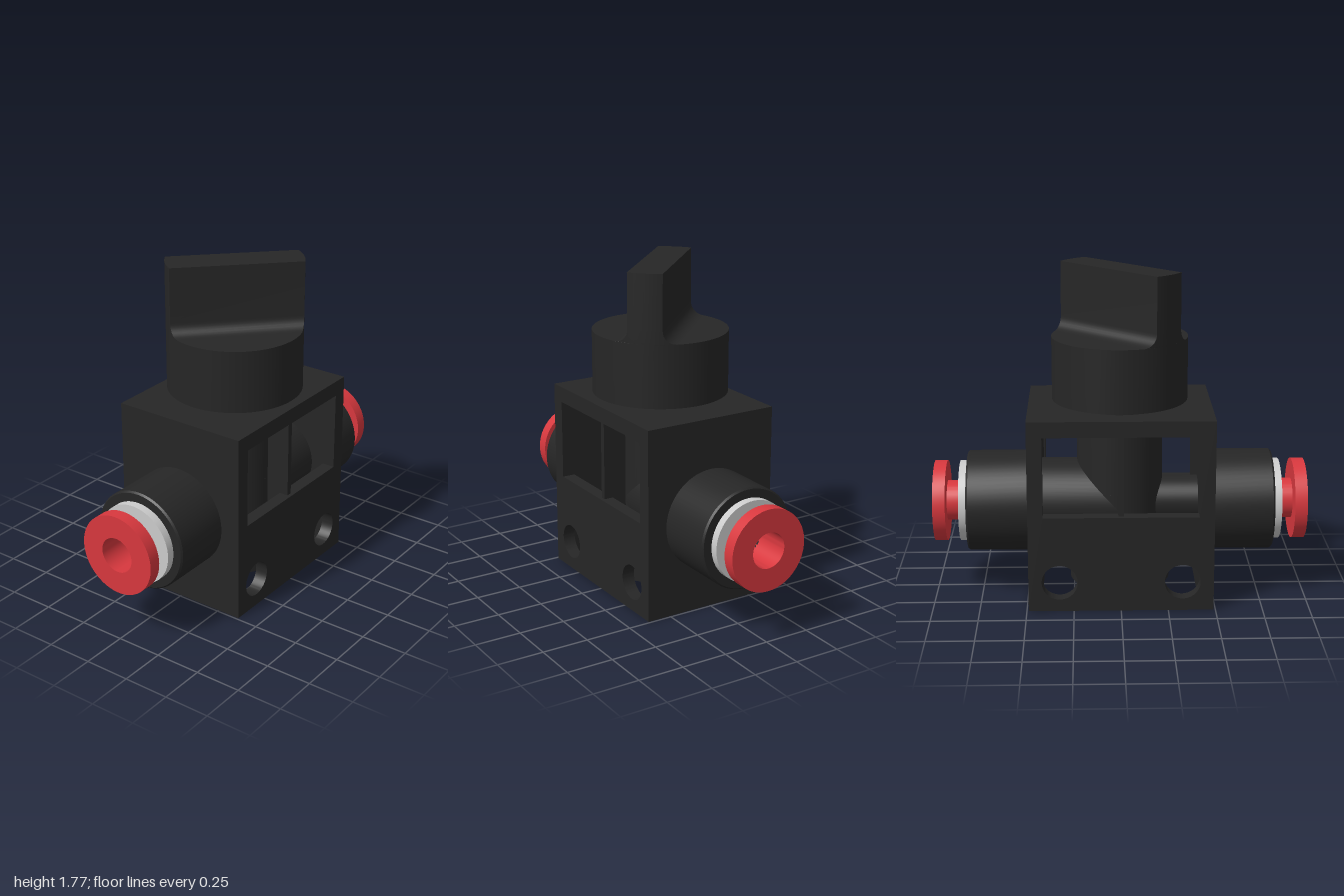
import * as THREE from 'three';
import { toCreasedNormals } from 'three/addons/utils/BufferGeometryUtils.js';

const AXIS_Y = 0.496; // height of the flow axis
const BORE = 0.095;

export function createModel() {
  const model = new THREE.Group();
  const dark = new THREE.MeshStandardMaterial({ color: 0x262626 });
  const darkOpen = new THREE.MeshStandardMaterial({ color: 0x262626, side: THREE.DoubleSide });
  const red = new THREE.MeshStandardMaterial({ color: 0xd8383e });
  const grey = new THREE.MeshStandardMaterial({ color: 0xcccccc });

  const add = (parent, name, geometry, material, x = 0, y = 0, z = 0) => {
    const mesh = new THREE.Mesh(geometry, material);
    mesh.name = name;
    mesh.position.set(x, y, z);
    parent.add(mesh);
    return mesh;
  };
  const lathe = (points) => toCreasedNormals(
    new THREE.LatheGeometry(points.map(([r, y]) => new THREE.Vector2(r, y)), 64), 0.6);
  const rect = (path, x0, y0, x1, y1) =>
    path.moveTo(x0, y0).lineTo(x1, y0).lineTo(x1, y1).lineTo(x0, y1).closePath();
  const circle = (x, y, r) => new THREE.Path().absarc(x, y, r, 0, Math.PI * 2, true);
  const plate = (halfWidth, height, depth, holes) => {
    const shape = rect(new THREE.Shape(), -halfWidth, 0, halfWidth, height);
    shape.holes.push(...holes);
    return toCreasedNormals(
      new THREE.ExtrudeGeometry(shape, { depth, bevelEnabled: false, curveSegments: 32 }), 0.6);
  };

  // Housing: hollow box, open underneath, with a window and two mounting holes front and back
  const housing = new THREE.Group();
  housing.name = 'housing';
  model.add(housing);
  const facePlate = plate(0.49, 1.04, 0.07, [
    rect(new THREE.Path(), -0.41, 0.52, 0.41, 0.955),
    circle(-0.325, 0.16, BORE), circle(0.325, 0.16, BORE),
  ]);
  add(housing, 'frontWall', facePlate, dark, 0, 0, 0.31);
  add(housing, 'backWall', facePlate, dark, 0, 0, -0.38);
  const sidePlate = plate(0.31, 1.04, 0.07, [circle(0, AXIS_Y, 0.1)]).rotateY(Math.PI / 2);
  add(housing, 'leftWall', sidePlate, dark, 0.42);
  add(housing, 'rightWall', sidePlate, dark, -0.49);
  add(housing, 'roof', new THREE.BoxGeometry(0.84, 0.085, 0.62), dark, 0, 0.9975);

  // Valve core: upright cylinder, its middle band opened on both sides for the bore
  const core = new THREE.Group();
  core.name = 'valveCore';
  model.add(core);
  const R = 0.23, gap = 0.093;
  const band = (name, y0, y1, start, length) => add(core, name,
    new THREE.CylinderGeometry(R, R, y1 - y0, 64, 1, true, start, length), dark, 0, (y0 + y1) / 2);
  band('coreLower', 0.34, AXIS_Y - gap, 0, Math.PI * 2);
  band('coreUpper', AXIS_Y + gap, 0.96, 0, Math.PI * 2);
  const a = Math.asin(gap / R);
  for (const turn of [0, Math.PI]) {
    band('coreMiddle', AXIS_Y - gap, AXIS_Y + gap, turn - Math.PI / 2 + a, Math.PI - 2 * a);
  }
  add(core, 'coreBase', new THREE.CylinderGeometry(0.27, 0.27, 0.29, 64), dark, 0, 0.205);
  for (const s of [-1, 1]) {
    add(core, 'coreRib', new THREE.BoxGeometry(0.03, 0.62, 0.16), dark, 0, 0.65, s * 0.28);
  }

  // Flow passages inside the housing
  const passage = (name, r, x0, x1) => add(core, name,
    new THREE.CylinderGeometry(r, r, x1 - x0, 64, 1, true).rotateZ(-Math.PI / 2),
    darkOpen, (x0 + x1) / 2, AXIS_Y);
  passage('widePassage', R, 0, 0.425);
  passage('narrowPassage', 0.13, -0.425, -0.17);
  passage('bore', BORE, -0.8, 0.8);

  // Push-in ports, mirrored left and right
  const portGeo = lathe([[0.1, 0.48], [0.272, 0.48], [0.272, 0.81], [0.264, 0.82], [0.1, 0.82], [0.1, 0.48]]);
  const ringGeo = lathe([[0.1, 0.815], [0.218, 0.815], [0.218, 0.863], [0.1, 0.863], [0.1, 0.815]]);
  const collarGeo = lathe([[BORE, 0.79], [0.108, 0.79], [0.108, 0.933], [0.218, 0.933],
    [0.218, 1], [BORE, 1], [BORE, 0.79]]);
  for (const s of [1, -1]) {
    const port = new THREE.Group();
    port.name = s > 0 ? 'leftPort' : 'rightPort';
    port.position.y = AXIS_Y;
    port.rotation.z = -s * Math.PI / 2;
    add(port, 'portSleeve', portGeo, dark);
    add(port, 'clampRing', ringGeo, grey);
    add(port, 'releaseCollar', collarGeo, red);
    model.add(port);
  }

  // Rotary knob: stem, drum and a grip blade set at 45 degrees
  const knob = new THREE.Group();
  knob.name = 'knob';
  knob.rotation.y = -Math.PI / 4;
  model.add(knob);
  add(knob, 'stem', new THREE.CylinderGeometry(0.255, 0.255, 0.06, 64), dark, 0, 1.06);
  add(knob, 'drum', new THREE.CylinderGeometry(0.362, 0.362, 0.338, 96), dark, 0, 1.241);
  add(knob, 'gripBlade', bladeGeometry(0.362, 0.092, 1.41, 1.775, 0.07), dark);
  return model;
}

// Slice of a cylinder along x whose flat sides flare into a fillet at the base
function bladeGeometry(radius, half, y0, y1, fillet) {
  const levels = [];
  for (let i = 0; i <= 8; i++) {
    const t = (i / 8) * Math.PI / 2;
    levels.push([y0 + fillet * (1 - Math.cos(t)), half + fillet * (1 - Math.sin(t))]);
  }
  levels.push([y1, half]);
  const arc = 12, n = 2 * (arc + 1), positions = [], index = [];
  for (const [y, h] of levels) {
    const a = Math.asin(h / radius);
    for (const end of [0, Math.PI]) {
      for (let i = 0; i <= arc; i++) {
        const t = end - a + (2 * a * i) / arc;
        positions.push(radius * Math.cos(t), y, radius * Math.sin(t));
      }
    }
  }
  for (let k = 0; k < levels.length - 1; k++) {
    for (let i = 0; i < n; i++) {
      const p = k * n + i, q = k * n + ((i + 1) % n);
      index.push(p, p + n, q, q, p + n, q + n);
    }
  }
  const top = (levels.length - 1) * n;
  for (let i = 1; i < n - 1; i++) index.push(top, top + i + 1, top + i);
  const geometry = new THREE.BufferGeometry();
  geometry.setAttribute('position', new THREE.Float32BufferAttribute(positions, 3));
  geometry.setIndex(index);
  return toCreasedNormals(geometry, 0.6);
}
